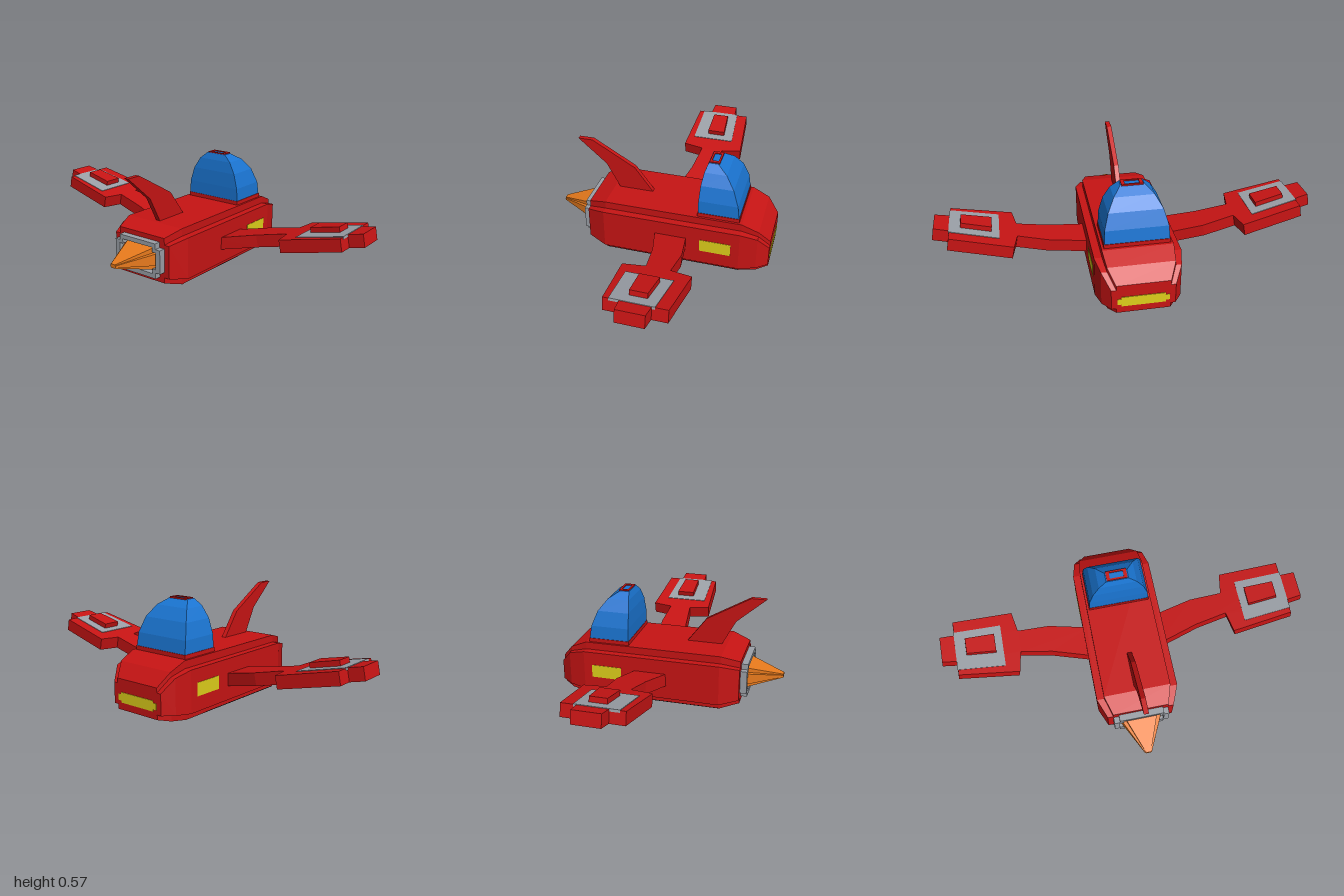
import * as THREE from 'three';

const material = (color) => new THREE.MeshStandardMaterial({ color, flatShading: true });

export function createModel() {
  const model = new THREE.Group();
  const red = material(0xc81414), blue = material(0x1a75d2), yellow = material(0xe0d01a);
  const orange = material(0xe87a1c), grey = material(0x9ca1a8), black = material(0x0a0a0a);

  const add = (name, geometry, mat, parent = model) => {
    const mesh = new THREE.Mesh(geometry, mat);
    mesh.name = name;
    parent.add(mesh);
    return mesh;
  };
  const box = (name, mat, x, y, z, w, h, d) =>
    add(name, new THREE.BoxGeometry(w, h, d), mat).position.set(x, y, z);

  // Skin a list of closed 3D sections and cap both ends
  const loft = (sections) => {
    const pos = [];
    const tri = (...pts) => pts.forEach((p) => pos.push(...p));
    const n = sections[0].length;
    const middle = (s) => [0, 1, 2].map((k) => s.reduce((sum, p) => sum + p[k], 0) / n);
    const first = sections[0], last = sections[sections.length - 1];
    const m0 = middle(first), m1 = middle(last);
    for (let j = 0; j < n; j++) {
      const k = (j + 1) % n;
      for (let i = 0; i < sections.length - 1; i++) {
        const s = sections[i], t = sections[i + 1];
        tri(s[j], s[k], t[k], s[j], t[k], t[j]);
      }
      tri(m0, first[k], first[j]);
      tri(m1, last[j], last[k]);
    }
    const geometry = new THREE.BufferGeometry();
    geometry.setAttribute('position', new THREE.Float32BufferAttribute(pos, 3));
    geometry.computeVertexNormals();
    return geometry;
  };

  // Rectangle with a square step cut from each corner
  const stepped = (w, wi, y0, y1, yi0, yi1) => [
    [w, yi0], [w, yi1], [wi, yi1], [wi, y1], [-wi, y1], [-wi, yi1],
    [-w, yi1], [-w, yi0], [-wi, yi0], [-wi, y0], [wi, y0], [wi, yi0],
  ];
  const atZ = (z, points) => points.map(([x, y]) => [x, y, z]);
  const shapeOf = (points) => new THREE.Shape(points.map(([x, y]) => new THREE.Vector2(x, y)));
  const extrude = (shape, depth) => new THREE.ExtrudeGeometry(shape, { depth, bevelEnabled: false });

  // Hull, from rear to front
  add('hull', loft([
    atZ(-0.6, stepped(0.16, 0.135, 0.03, 0.19, 0.055, 0.165)),
    atZ(-0.54, stepped(0.2, 0.17, 0.015, 0.26, 0.05, 0.235)),
    atZ(-0.45, stepped(0.22, 0.18, 0, 0.3, 0.04, 0.26)),
    atZ(0.29, stepped(0.22, 0.18, 0, 0.3, 0.04, 0.26)),
    atZ(0.39, stepped(0.18, 0.15, 0.03, 0.27, 0.06, 0.235)),
  ]), red);
  box('bellyPlate', black, 0, 0.001, -0.08, 0.36, 0.004, 0.74);

  // Nozzle frame and flame
  const nozzle = shapeOf(stepped(0.15, 0.12, 0.058, 0.245, 0.09, 0.215));
  nozzle.holes.push(shapeOf(stepped(0.122, 0.1, 0.083, 0.222, 0.108, 0.197)));
  add('nozzle', extrude(nozzle, 0.04), grey).position.z = 0.385;
  add('flame', loft([
    atZ(0.386, stepped(0.12, 0.095, 0.09, 0.215, 0.118, 0.187)),
    atZ(0.6, stepped(0.018, 0.013, 0.143, 0.163, 0.148, 0.158)),
  ]), orange);

  // Canopy: height, half width, front z, rear z
  const canopy = [
    [0.32, 0.165, -0.215, -0.432], [0.39, 0.161, -0.215, -0.422],
    [0.47, 0.138, -0.219, -0.391], [0.53, 0.102, -0.228, -0.345],
    [0.565, 0.06, -0.24, -0.29],
  ];
  add('canopy', loft(canopy.map(([y, w, f, b]) =>
    [[w, y, f], [w, y, b], [-w, y, b], [-w, y, f]])), blue);
  box('canopyBase', red, 0, 0.308, -0.324, 0.336, 0.026, 0.222);
  for (const s of [-1, 1]) {
    box('canopyTopRim', red, s * 0.046, 0.566, -0.27, 0.018, 0.008, 0.054);
    box('canopyTopRim', red, 0, 0.566, -0.27 + s * 0.022, 0.1, 0.008, 0.01);
  }

  // Swept fin, drawn in (z, y) and turned to face sideways
  const fin = extrude(shapeOf([
    [0.07, 0.295], [0.26, 0.295], [0.335, 0.435], [0.49, 0.57], [0.41, 0.57], [0.175, 0.435],
  ].map(([z, y]) => [-z, y])), 0.026);
  add('fin', fin.rotateY(Math.PI / 2).translate(-0.013, 0, 0), red);

  // Windows
  for (const s of [-1, 1]) box('sideWindow', yellow, s * 0.219, 0.153, -0.323, 0.006, 0.07, 0.165);
  box('rearWindow', yellow, 0, 0.095, -0.6, 0.22, 0.054, 0.006);
  box('rearWindowEnds', yellow, 0, 0.095, -0.6, 0.26, 0.032, 0.006);

  // Wings: plan outlines in (x, z), given thickness and tilted upward
  const wingPlan = [
    [0.2, 0.012], [0.42, -0.042], [0.59, -0.062], [0.61, 0.052], [0.925, 0.032], [0.925, -0.045],
    [1, -0.05], [1, -0.19], [0.925, -0.195], [0.925, -0.272], [0.61, -0.295], [0.59, -0.185],
    [0.42, -0.195], [0.2, -0.162],
  ];
  const ring = [[0.68, 0.01], [0.927, 0.004], [0.927, -0.21], [0.68, -0.226]];
  const ringHole = [[0.72, -0.07], [0.873, -0.073], [0.873, -0.16], [0.72, -0.17]];
  const thickness = 0.066;

  for (const s of [-1, 1]) {
    const wing = new THREE.Group();
    wing.name = s > 0 ? 'leftWing' : 'rightWing';
    model.add(wing);
    const slab = (name, mat, plan, h0, h1, hole) => {
      const flat = (pts) => shapeOf(pts.map(([x, z]) => [s * x, -z]));
      const shape = flat(plan);
      if (hole) shape.holes.push(flat(hole));
      const geometry = extrude(shape, h1 - h0).rotateX(-Math.PI / 2);
      const p = geometry.attributes.position;
      for (let i = 0; i < p.count; i++) {
        const x = s * p.getX(i), h = p.getY(i) + h0;
        p.setXY(i, s * (x - 0.2 * h), 0.115 + 0.225 * (x - 0.22) + 0.98 * h);
      }
      geometry.computeVertexNormals();
      add(name, geometry, mat, wing);
    };
    slab('wingPanel', red, wingPlan, 0, thickness);
    slab('wingFrame', grey, ring, thickness - 0.01, thickness + 0.003, ringHole);
    slab('wingBlock', red, ringHole, thickness - 0.01, thickness + 0.03);
  }

  return model;
}
